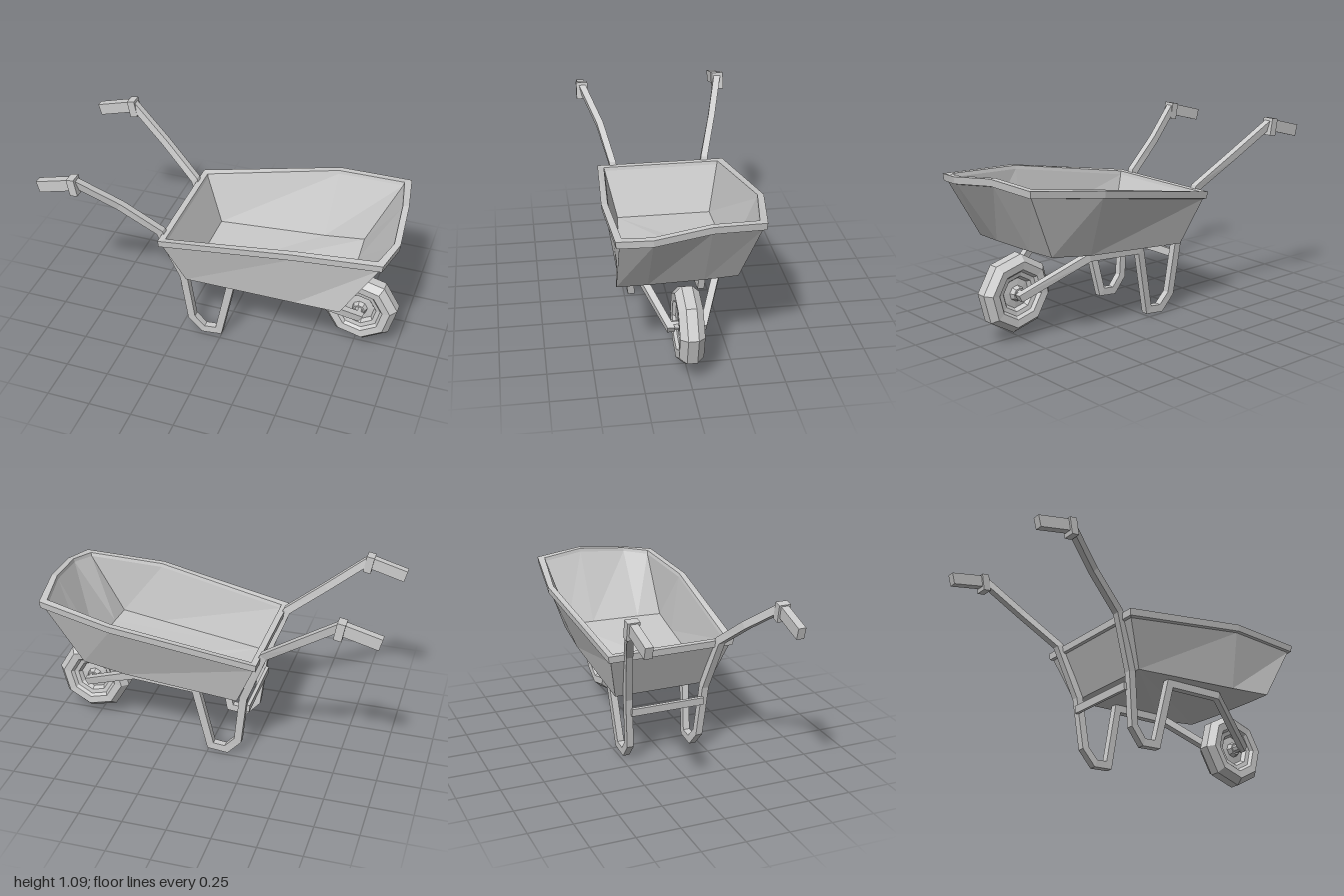
import * as THREE from 'three';

const material = new THREE.MeshStandardMaterial({ color: 0xcccccc, flatShading: true });

function addMesh(parent, name, geometry) {
  const mesh = new THREE.Mesh(geometry, material);
  mesh.name = name;
  parent.add(mesh);
  return mesh;
}

// Skin a list of equal-length point loops and close both ends
function loft(loops) {
  const pos = [];
  const tri = (...pts) => pts.forEach((p) => pos.push(...p));
  const n = loops[0].length;
  for (let k = 0; k < loops.length - 1; k++) {
    for (let i = 0; i < n; i++) {
      const j = (i + 1) % n;
      const [a, b, c, d] = [loops[k][i], loops[k][j], loops[k + 1][j], loops[k + 1][i]];
      tri(a, b, c);
      tri(a, c, d);
    }
  }
  const first = loops[0], last = loops[loops.length - 1];
  for (let i = 1; i < n - 1; i++) {
    tri(first[0], first[i + 1], first[i]);
    tri(last[0], last[i], last[i + 1]);
  }
  const g = new THREE.BufferGeometry();
  g.setAttribute('position', new THREE.Float32BufferAttribute(pos, 3));
  g.computeVertexNormals();
  return g;
}

// Square bar with mitred corners; half height h (in the xy plane), half width w (along z)
function bar(path, h, w) {
  const dir = (a, b) => new THREE.Vector2(b[0] - a[0], b[1] - a[1]).normalize();
  return loft(path.map((p, i) => {
    const before = i > 0 ? dir(path[i - 1], p) : dir(p, path[1]);
    const after = i < path.length - 1 ? dir(p, path[i + 1]) : before;
    const t = before.clone().add(after).normalize();
    const m = h / t.dot(before);
    const nx = -t.y * m, ny = t.x * m;
    return [[1, 1], [-1, 1], [-1, -1], [1, -1]].map(([s, u]) =>
      [p[0] + s * nx, p[1] + s * ny, p[2] + u * w]);
  }));
}

// Pull a tray loop inwards by d and shift it by dy
function inset(loop, d, dy) {
  const sx = [1, 0, -1, -1, -1, -1, 0, 1];
  const sz = [-1, -1, -1, 0, 0, 1, 1, 1];
  return loop.map(([x, y, z], i) => [x + sx[i] * d, y + dy, z + sz[i] * d]);
}

function createTray() {
  const rim = [
    [-0.32, 0.72, 0.365], [0.47, 0.86, 0.412], [0.95, 0.885, 0.385], [1.0, 0.907, 0.2],
    [0.975, 0.945, -0.1], [0.93, 0.925, -0.385], [0.5, 0.872, -0.457], [-0.32, 0.72, -0.385],
  ];
  const base = [
    [-0.19, 0.42, 0.28], [0.47, 0.475, 0.34], [0.73, 0.5, 0.365], [0.735, 0.503, 0.2],
    [0.735, 0.51, -0.1], [0.725, 0.515, -0.285], [0.47, 0.477, -0.295], [-0.19, 0.42, -0.3],
  ];
  return loft([
    base, inset(rim, 0.02, -0.045), inset(rim, 0.004, -0.04), rim,
    inset(rim, 0.035, 0), inset(rim, 0.04, -0.02), inset(base, 0.015, 0.02),
  ]);
}

function createSide(side) {
  const group = new THREE.Group();
  group.name = side > 0 ? 'leftFrame' : 'rightFrame';
  const lift = side > 0 ? 0 : 0.02;
  const gripZ = side * (side > 0 ? 0.412 : 0.428);

  // Handle, leg loop and wheel strut in one bent bar
  const path = [
    [-0.78, 1.05 + lift, gripZ],
    [-0.55, 0.885 + lift / 2, side * (side > 0 ? 0.325 : 0.355)],
    [-0.335, 0.725, side * 0.275],
    [-0.215, 0.41, side * 0.235],
    [-0.18, 0.105, side * 0.215],
    [-0.11, 0.027, side * 0.21],
    [-0.015, 0.037, side * 0.21],
    [0.068, 0.42, side * 0.232],
    [0.44, 0.45, side * 0.235],
    [0.8, 0.255, side * 0.085],
  ];
  addMesh(group, 'bentBar', bar(path, 0.022, 0.02));

  // Grip with its collar
  addMesh(group, 'grip', bar([
    [-0.76, 1.04 + lift, gripZ], [-0.99, 0.977 + lift, gripZ + side * -0.003],
  ], 0.034, 0.022));
  const collar = addMesh(group, 'gripCollar', new THREE.BoxGeometry(0.045, 0.1, 0.068));
  collar.position.set(-0.775, 1.025 + lift, gripZ);
  collar.rotation.z = 0.18;
  return group;
}

function createWheel() {
  const group = new THREE.Group();
  group.name = 'wheel';
  group.position.set(0.773, 0.265, -0.006);

  // Eight-sided tyre with a stepped rim and dished centre, mirrored across the width
  const half = [
    [0, 0.05], [0.035, 0.05], [0.045, 0.022], [0.085, 0.018], [0.1, 0.04],
    [0.125, 0.045], [0.14, 0.062], [0.185, 0.066], [0.22, 0.028],
  ];
  const profile = [
    ...half.map(([r, z]) => new THREE.Vector2(r, -z)),
    ...half.slice().reverse().map(([r, z]) => new THREE.Vector2(r, z)),
  ];
  const tyre = new THREE.LatheGeometry(profile, 8);
  tyre.rotateX(Math.PI / 2);
  tyre.rotateZ(0.14);
  addMesh(group, 'tyreAndRim', tyre);

  const axle = new THREE.CylinderGeometry(0.026, 0.026, 0.18, 8);
  axle.rotateX(Math.PI / 2);
  addMesh(group, 'axle', axle);
  return group;
}

export function createModel() {
  const model = new THREE.Group();
  model.name = 'wheelbarrow';
  addMesh(model, 'tray', createTray());
  for (const side of [1, -1]) model.add(createSide(side));

  // Cross brace behind the rear legs
  const brace = addMesh(model, 'crossBrace', new THREE.BoxGeometry(0.02, 0.045, 0.44));
  brace.position.set(-0.235, 0.328, 0);
  brace.rotation.z = 0.08;

  model.add(createWheel());
  return model;
}
